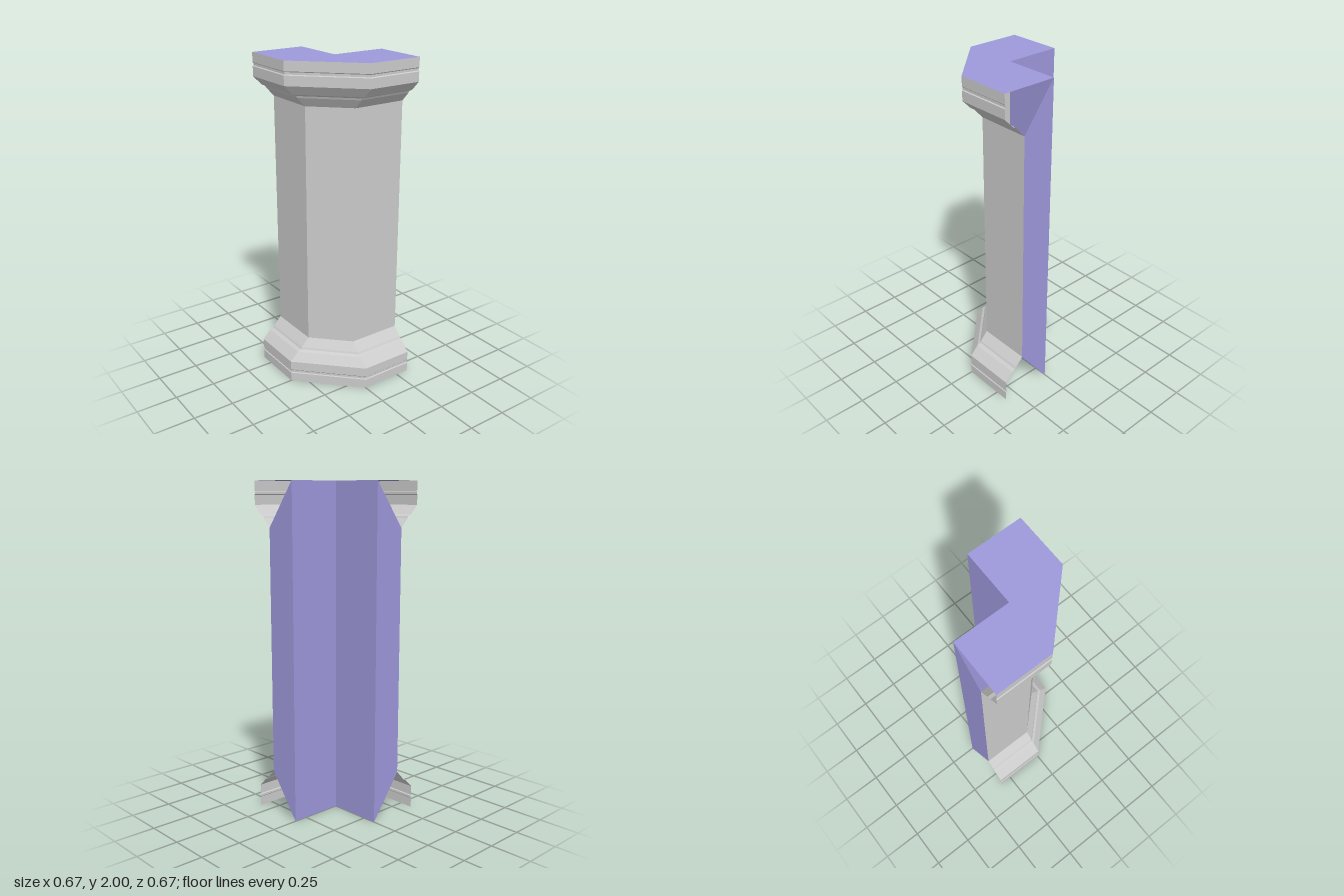
import * as THREE from 'three';

const R = 0.333;   // outer reach of the plinth and length of each wing
const S = 0.2;     // reach of the shaft
const H = 2;       // full height
const M = 0.265;   // height of each moulding

// Moulding section from the floor up: [reach, height]
const MOULDING = [
  [R, 0], [R, 0.057], [R - 0.005, 0.062], [R - 0.005, 0.075], [R, 0.08],
  [R, 0.137], [0.28, 0.19], [0.257, 0.2], [0.25, 0.212], [S, M],
];

const stone = new THREE.MeshStandardMaterial({ color: 0xcccccc, flatShading: true, side: THREE.DoubleSide });
const lining = new THREE.MeshStandardMaterial({ color: 0x9e98db, flatShading: true, side: THREE.DoubleSide });

// Plan of the outer face at a given reach: side, chamfered corner, front
const plan = (d) => [[-d, -R], [-d, 0], [0, d], [R, d]];

// Faceted skin through rows of points, rows running upward
function skin(rows) {
  const pos = [];
  for (let i = 0; i < rows.length - 1; i++) {
    for (let j = 0; j < rows[i].length - 1; j++) {
      const a = rows[i][j], b = rows[i][j + 1];
      const c = rows[i + 1][j + 1], d = rows[i + 1][j];
      pos.push(...a, ...b, ...c, ...a, ...c, ...d);
    }
  }
  const g = new THREE.BufferGeometry();
  g.setAttribute('position', new THREE.Float32BufferAttribute(pos, 3));
  g.computeVertexNormals();
  return g;
}

const sweep = (profile) => skin(profile.map(([d, y]) => plan(d).map(([x, z]) => [x, y, z])));

const panel = (points) =>
  new THREE.ShapeGeometry(new THREE.Shape(points.map(([u, v]) => new THREE.Vector2(u, v))));

export function createModel() {
  const group = new THREE.Group();
  const add = (name, geometry, material) => {
    const mesh = new THREE.Mesh(geometry, material);
    mesh.name = name;
    group.add(mesh);
  };

  // Outer stonework
  add('baseMoulding', sweep(MOULDING), stone);
  add('shaft', sweep([[S, M], [S, H - M]]), stone);
  add('topMoulding', sweep(MOULDING.map(([d, y]) => [d, H - y]).reverse()), stone);

  // Inner corner walls
  const inner = [[R, 0], [0, 0], [0, -R]];
  add('innerWalls', skin([0, H].map((y) => inner.map(([x, z]) => [x, y, z]))), lining);

  // Flat top; the underside stays open
  const top = [...plan(R), ...inner];
  add('topCap', panel(top.map(([x, z]) => [x, -z])).rotateX(-Math.PI / 2).translate(0, H, 0), lining);

  // Tapered end panels that leave the mouldings open at their ends
  const end = (s) => panel([[0, 0], [s, M], [s, H - M], [0, H]]);
  add('frontWingEnd', end(-S).rotateY(Math.PI / 2).translate(R, 0, 0), lining);
  add('sideWingEnd', end(S).rotateY(Math.PI).translate(0, 0, -R), lining);

  return group;
}
